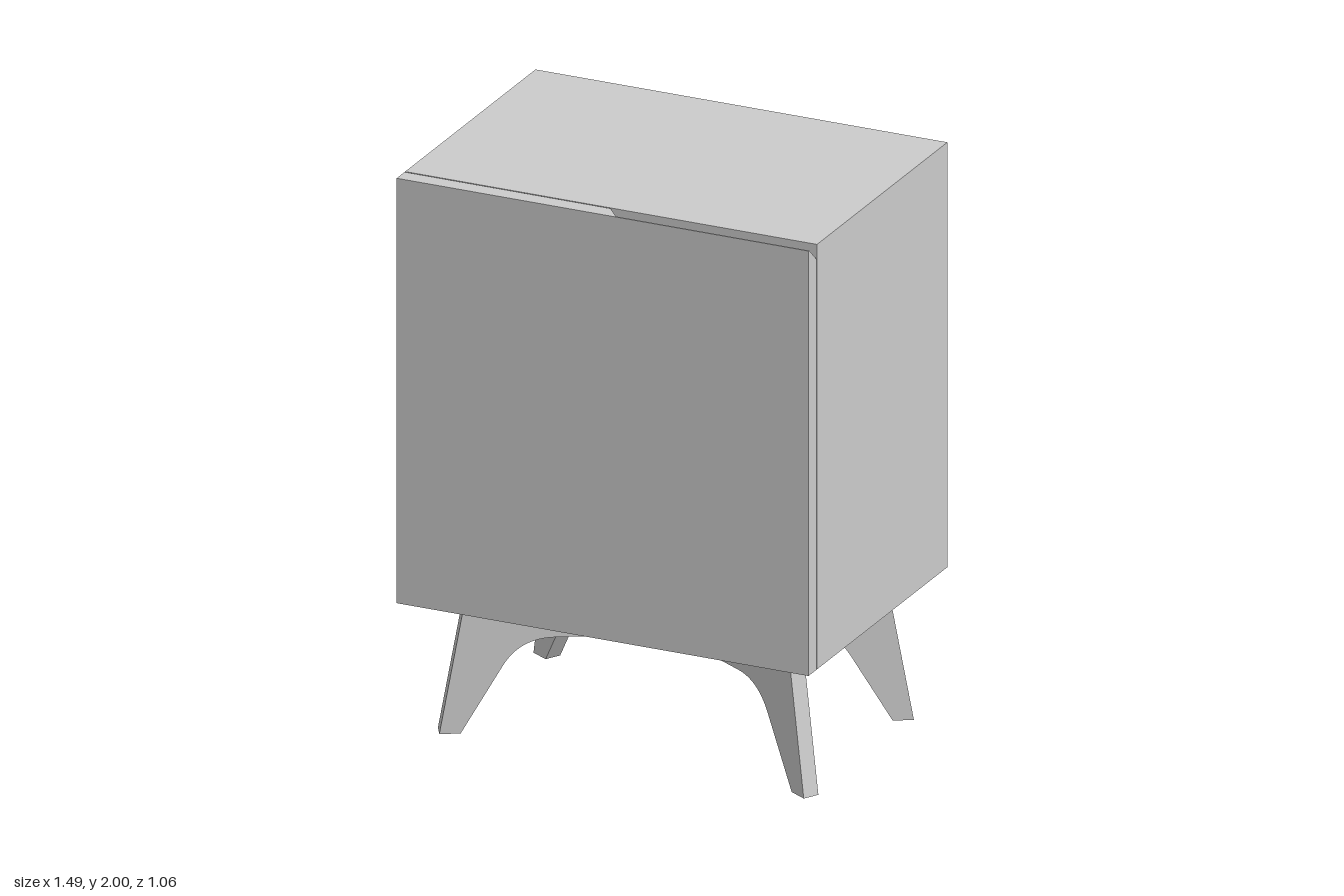
import * as THREE from 'three';
import { toCreasedNormals } from 'three/addons/utils/BufferGeometryUtils.js';
import { ConvexGeometry } from 'three/addons/geometries/ConvexGeometry.js';

const material = new THREE.MeshStandardMaterial({ color: 0xcccccc });

const W = 0.747;              // half width of the cabinet
const BOTTOM = 0.5, TOP = 2;  // cabinet height range
const BACK = -0.53, CASE_FRONT = 0.465;
const DOOR_BACK = 0.47, DOOR_FRONT = 0.53;

function part(name, geometry, parent) {
  const mesh = new THREE.Mesh(geometry, material);
  mesh.name = name;
  parent.add(mesh);
  return mesh;
}

// Box given by its minimum and maximum corners
function span(name, [x0, y0, z0], [x1, y1, z1], parent) {
  const mesh = part(name, new THREE.BoxGeometry(x1 - x0, y1 - y0, z1 - z0), parent);
  mesh.position.set((x0 + x1) / 2, (y0 + y1) / 2, (z0 + z1) / 2);
}

function rectangle(Type, x0, y0, x1, y1) {
  return new Type([[x0, y0], [x1, y0], [x1, y1], [x0, y1]].map(p => new THREE.Vector2(...p)));
}

// Four-sided case with a slightly recessed back panel
function buildCase(parent) {
  const wall = 0.06, recess = 0.01;
  const outline = rectangle(THREE.Shape, -W, BOTTOM, W, TOP);
  outline.holes.push(rectangle(THREE.Path, -W + wall, BOTTOM + wall, W - wall, TOP - wall));
  const shell = new THREE.ExtrudeGeometry(outline, { depth: CASE_FRONT - BACK, bevelEnabled: false });
  part('caseShell', shell, parent).position.z = BACK;
  span('backPanel', [-W + wall, BOTTOM + wall, BACK + recess],
    [W - wall, TOP - wall, BACK + recess + 0.03], parent);
}

// Door whose top edge is chamfered behind, on one half, as a finger pull
function buildDoor(parent) {
  const lip = 0.525, low = 1.95;
  span('doorPlainHalf', [-W, BOTTOM, DOOR_BACK], [0, TOP, DOOR_FRONT], parent);

  // Profile drawn in (-z, y), extruded and turned to run along x
  const profile = new THREE.Shape([
    [-DOOR_FRONT, BOTTOM], [-DOOR_BACK, BOTTOM], [-DOOR_BACK, low], [-lip, TOP], [-DOOR_FRONT, TOP],
  ].map(p => new THREE.Vector2(...p)));
  const half = new THREE.ExtrudeGeometry(profile, { depth: W, bevelEnabled: false });
  part('doorChamferedHalf', half.rotateY(Math.PI / 2), parent);

  // Slanted end of the finger pull
  const end = [
    [0, TOP, DOOR_BACK], [0, low, DOOR_BACK], [0, TOP, lip], [0.045, TOP, lip], [0.015, low, DOOR_BACK],
  ].map(p => new THREE.Vector3(...p));
  part('fingerPullEnd', new ConvexGeometry(end), parent);
}

// Arched plank with splayed feet; two of them cross under the case
function buildLegs(parent) {
  const thickness = 0.058, archTop = 0.33;
  const shape = new THREE.Shape();
  shape.moveTo(-0.69, BOTTOM);
  shape.lineTo(-0.78, 0);
  shape.lineTo(-0.71, 0);
  shape.lineTo(-0.571, 0.235);
  shape.quadraticCurveTo(-0.515, archTop, -0.4, archTop);
  shape.lineTo(0.4, archTop);
  shape.quadraticCurveTo(0.515, archTop, 0.571, 0.235);
  shape.lineTo(0.71, 0);
  shape.lineTo(0.78, 0);
  shape.lineTo(0.69, BOTTOM);
  const extruded = new THREE.ExtrudeGeometry(shape, {
    depth: thickness, bevelEnabled: false, curveSegments: 12,
  }).translate(0, 0, -thickness / 2);
  const plank = toCreasedNormals(extruded, 0.4);
  for (const side of [-1, 1]) {
    const mesh = part(side < 0 ? 'legPlankA' : 'legPlankB', plank, parent);
    mesh.rotation.y = side * Math.PI / 6;
    mesh.position.z = -0.03;
  }
}

export function createModel() {
  const model = new THREE.Group();
  model.name = 'cabinet';
  for (const [name, build] of [['case', buildCase], ['door', buildDoor], ['legs', buildLegs]]) {
    const group = new THREE.Group();
    group.name = name;
    build(group);
    model.add(group);
  }
  return model;
}
